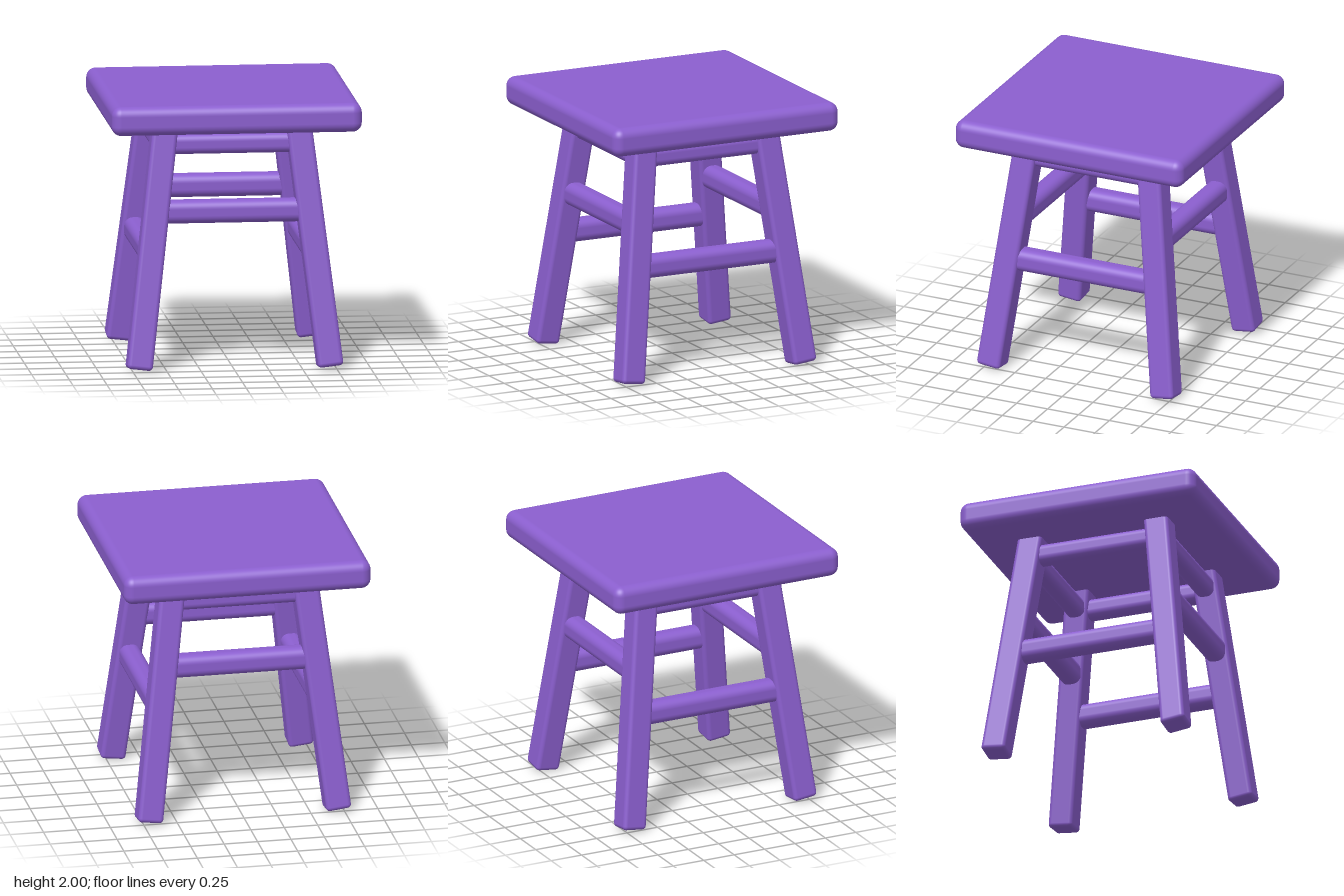
import * as THREE from 'three';
import { RoundedBoxGeometry } from 'three/addons/geometries/RoundedBoxGeometry.js';

export function createModel() {
  const model = new THREE.Group();
  model.name = 'stool';
  const purple = new THREE.MeshStandardMaterial({ color: 0x8b5fcf });
  purple.name = 'purple paint';

  const addBox = (name, w, h, d, radius) => {
    const mesh = new THREE.Mesh(new RoundedBoxGeometry(w, h, d, 5, radius), purple);
    mesh.name = name;
    model.add(mesh);
    return mesh;
  };

  // Thick square seat with softened edges
  addBox('seat', 1.845, 0.215, 1.845, 0.07).position.y = 1.8925;

  // Four splayed legs, leaning inward towards the seat
  const tilt = 0.119, legLength = 1.86, footSpread = 0.705;
  for (const sx of [-1, 1]) {
    for (const sz of [-1, 1]) {
      const leg = addBox(`${sz > 0 ? 'front' : 'back'}${sx > 0 ? 'Left' : 'Right'}Leg`,
        0.188, legLength, 0.188, 0.03);
      leg.rotation.set(-sz * tilt, 0, sx * tilt);
      const axis = new THREE.Vector3(0, legLength / 2, 0).applyEuler(leg.rotation);
      leg.position.set(sx * footSpread, 0.018, sz * footSpread).add(axis);
    }
  }

  // Rounded rails running between the leg centres at a given height
  const addRails = (name, y, height, depth, alongX) => {
    const reach = footSpread - Math.tan(tilt) * y;
    for (const side of [-1, 1]) {
      const rail = addBox(name, 2 * reach + 0.08, height, depth, height * 0.36);
      rail.position.set(alongX ? 0 : side * reach, y, alongX ? side * reach : 0);
      if (!alongX) rail.rotation.y = Math.PI / 2;
    }
  };
  addRails('upperCrossRail', 1.66, 0.15, 0.14, true);
  addRails('upperSideRail', 1.66, 0.15, 0.14, false);
  addRails('lowerCrossRail', 1.165, 0.172, 0.155, true);
  addRails('lowerSideRail', 0.857, 0.172, 0.155, false);

  return model;
}
